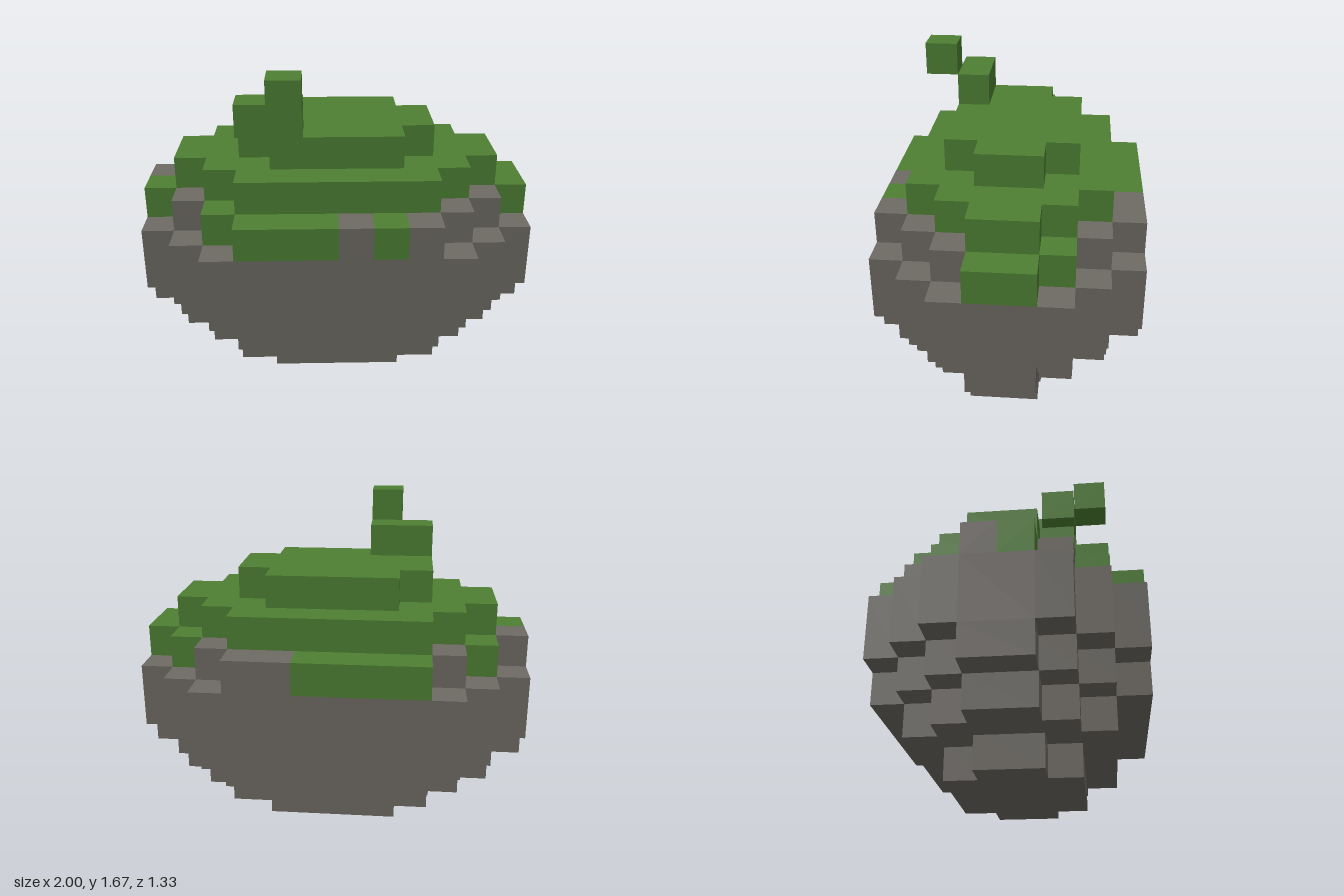
import * as THREE from 'three';

const U = 1 / 6; // one block

export function createModel() {
  const model = new THREE.Group();
  model.name = 'blockPot';
  const stone = new THREE.MeshStandardMaterial({ color: 0x6e6a64 });
  stone.name = 'stone grey';
  const leaf = new THREE.MeshStandardMaterial({ color: 0x4e8033 });
  leaf.name = 'leaf green';

  const add = (name, geometry, material) => {
    const mesh = new THREE.Mesh(geometry, material);
    mesh.name = name;
    model.add(mesh);
  };

  // Stepped oval slab: half-widths of the block rows, from the middle outwards
  const slab = (name, halfWidths, y, height, material) => {
    const quarter = [];
    halfWidths.forEach((w, i) => quarter.push([w, i], [w, i + 1]));
    quarter.shift(); // the middle point lies on a straight edge
    const mirror = (sx, sz) => quarter.map(([x, z]) => [x * sx, z * sz]);
    const outline = [
      ...mirror(1, 1), ...mirror(-1, 1).reverse(),
      ...mirror(-1, -1), ...mirror(1, -1).reverse(),
    ].map(([x, z]) => new THREE.Vector2(x * U, z * U));
    const geometry = new THREE.ExtrudeGeometry(new THREE.Shape(outline), { depth: height * U, bevelEnabled: false });
    geometry.rotateX(-Math.PI / 2).translate(0, y * U, 0);
    add(name, geometry, material);
  };

  // Box of whole blocks, placed by its lowest corner
  const block = (name, x, y, z, width, material) => {
    const geometry = new THREE.BoxGeometry(width * U, U, U);
    geometry.translate((x + width / 2) * U, (y + 0.5) * U, (z + 0.5) * U);
    add(name, geometry, material);
  };

  // Grey bowl
  slab('foot', [3, 2], 0, 1, stone);
  slab('lowerBowl', [5, 4, 3], 1, 1, stone);
  slab('bowlCurve', [6, 5, 4, 3], 2, 1, stone);
  slab('bowlBelly', [6, 6, 5, 4], 3, 2, stone);
  slab('rimCore', [5, 4, 3], 5, 1, stone);

  // Rim blocks where green spills over the grey: [x, z, width]
  const greenRim = [
    [-3, -4, 4], [-5, -2, 1], [4, -2, 1], [5, -1, 1], [5, 0, 1],
    [-6, 0, 1], [-4, 2, 1], [-3, 3, 3], [1, 3, 1],
  ];
  const greyRim = [
    [1, -4, 2], [-4, -3, 1], [3, -3, 1], [-6, -1, 1],
    [-5, 1, 1], [4, 1, 1], [3, 2, 1], [0, 3, 1], [2, 3, 1],
  ];
  greenRim.forEach(([x, z, w]) => block('greenRim', x, 5, z, w, leaf));
  greyRim.forEach(([x, z, w]) => block('greyRim', x, 5, z, w, stone));

  // Green top and its bent stalk
  slab('lowerTop', [5, 4, 3], 6, 1, leaf);
  slab('upperTop', [3, 2], 7, 1, leaf);
  block('stalk', -3, 8, 1, 2, leaf);
  block('stalkTip', -2, 9, 2, 1, leaf);

  return model;
}
